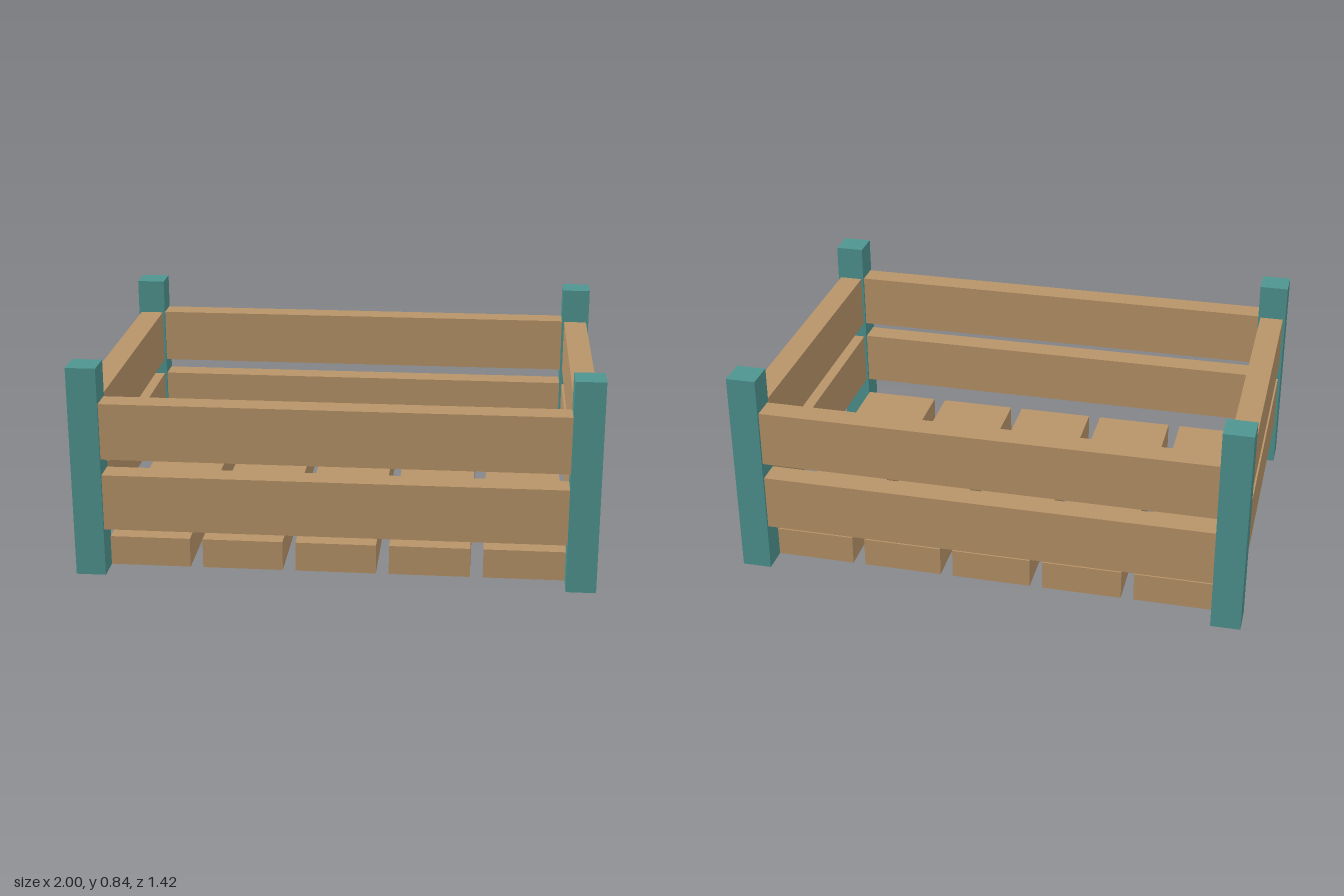
import * as THREE from 'three';

export function createModel() {
  const crate = new THREE.Group();
  crate.name = 'crate';

  const wood = new THREE.MeshStandardMaterial({ color: 0xb89469 });
  wood.name = 'wood';
  const teal = new THREE.MeshStandardMaterial({ color: 0x4e9490 });
  teal.name = 'teal paint';

  // Box given by its size, its centre in x and z, and its underside
  function addBox(name, material, [w, h, d], [x, bottom, z]) {
    const mesh = new THREE.Mesh(new THREE.BoxGeometry(w, h, d), material);
    mesh.name = name;
    mesh.position.set(x, bottom + h / 2, z);
    crate.add(mesh);
  }

  const post = 0.115, postHeight = 0.837;
  const halfX = 1, halfZ = 0.71;
  const innerX = halfX - post, innerZ = halfZ - post;
  const board = 0.095, boardHeight = 0.222;

  // Corner posts
  for (const sx of [-1, 1]) {
    for (const sz of [-1, 1]) {
      addBox('cornerPost', teal, [post, postHeight, post],
        [sx * (halfX - post / 2), 0, sz * (halfZ - post / 2)]);
    }
  }

  // Two tiers of boards on all four sides
  for (const y of [0.187, 0.473]) {
    for (const s of [-1, 1]) {
      addBox(s > 0 ? 'frontBoard' : 'backBoard', wood,
        [innerX * 2, boardHeight, board], [0, y, s * 0.652]);
      addBox(s > 0 ? 'leftBoard' : 'rightBoard', wood,
        [board, boardHeight, innerZ * 2], [s * 0.942, y, 0]);
    }
  }

  // Floor slats
  for (let i = -2; i <= 2; i++) {
    addBox('floorSlat', wood, [0.314, 0.118, 1.21], [i * 0.364, 0, 0]);
  }

  return crate;
}
